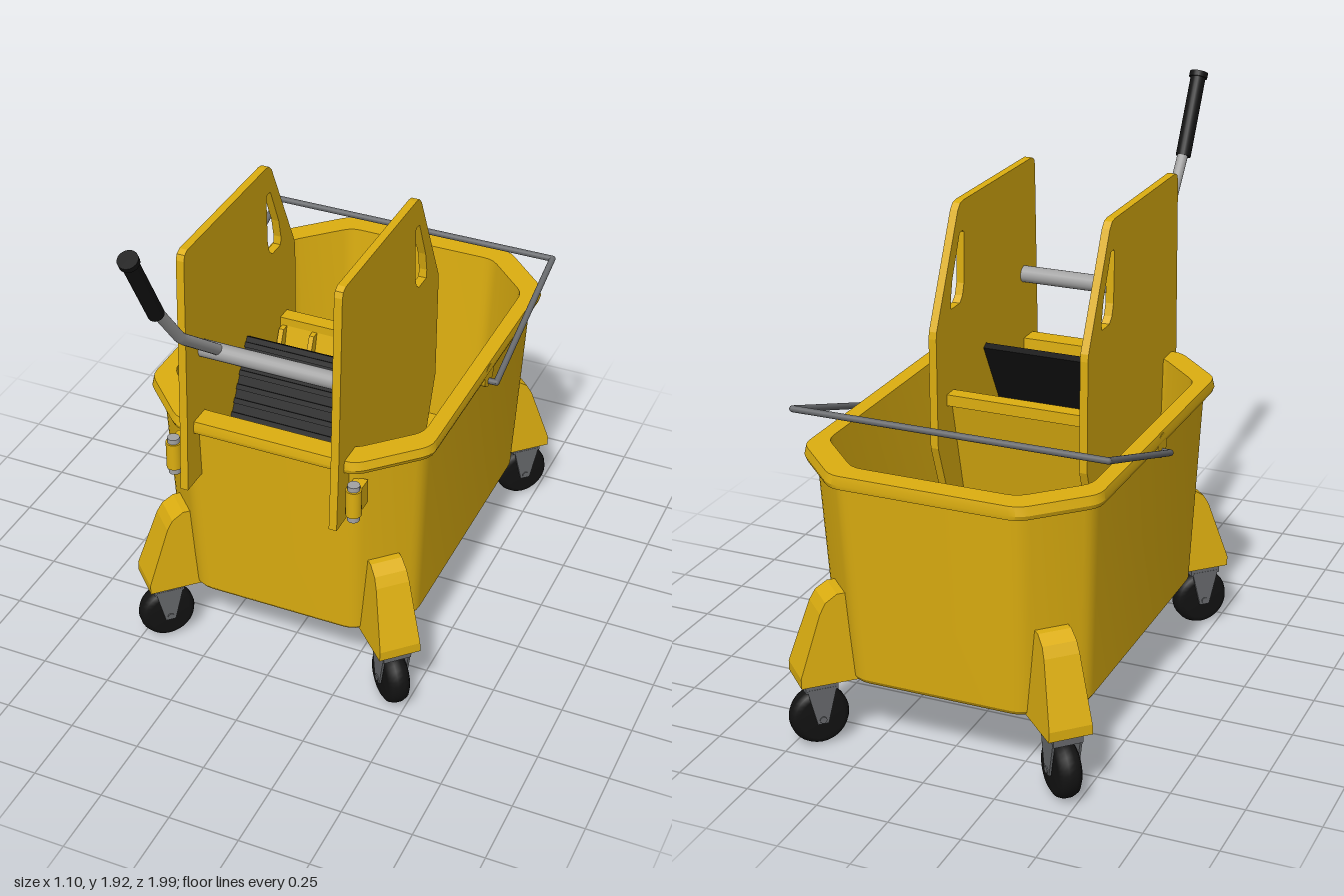
import * as THREE from 'three';
import { toCreasedNormals } from 'three/addons/utils/BufferGeometryUtils.js';

const V = (x, y, z) => new THREE.Vector3(x, y, z);
const mat = (name, color, extra = {}) => {
  const m = new THREE.MeshStandardMaterial({ color, ...extra });
  m.name = name;
  return m;
};

export function createModel() {
  const yellow = mat('yellow plastic', 0xdcae10);
  const black = mat('black rubber', 0x121212);
  const steel = mat('light steel', 0xa2a2a2);
  const wire = mat('dark steel wire', 0x66686b);
  const root = new THREE.Group();

  const add = (name, geometry, material, parent = root, x = 0, y = 0, z = 0) => {
    const mesh = new THREE.Mesh(geometry, material);
    mesh.name = name;
    mesh.position.set(x, y, z);
    parent.add(mesh);
    return mesh;
  };
  // Straight round bar between two points
  const bar = (name, a, b, r, material, parent = root) => {
    const mesh = add(name, new THREE.CylinderGeometry(r, r, a.distanceTo(b), 20), material, parent);
    mesh.position.copy(a).lerp(b, 0.5);
    mesh.quaternion.setFromUnitVectors(V(0, 1, 0), b.clone().sub(a).normalize());
    return mesh;
  };
  const shapeOf = (pts) => new THREE.Shape(pts.map((p) => new THREE.Vector2(...p)));
  // Extrusion centred on its thickness
  const slab = (shape, depth) =>
    new THREE.ExtrudeGeometry(shape, { depth, bevelEnabled: false, curveSegments: 6 }).translate(0, 0, -depth / 2);
  // Profile drawn as (z, y), thickness along x
  const sideSlab = (shape, depth) => slab(shape, depth).rotateY(-Math.PI / 2);

  // Chamfered rectangle with softened corners, as one horizontal ring
  const ring = (hw, zb, zf, c, y) => {
    const corners = [[hw, zf - c], [hw - c, zf], [c - hw, zf], [-hw, zf - c],
      [-hw, zb + c], [c - hw, zb], [hw - c, zb], [hw, zb + c]].map((p) => V(p[0], y, p[1]));
    const out = [];
    corners.forEach((p, i) => {
      const toward = (q) => p.clone().add(q.clone().sub(p).setLength(0.035));
      const curve = new THREE.QuadraticBezierCurve3(
        toward(corners[(i + 7) % 8]), p, toward(corners[(i + 1) % 8]));
      out.push(...curve.getPoints(3));
    });
    return out;
  };
  const loft = (rings) => {
    const pos = [];
    for (let k = 0; k + 1 < rings.length; k++) {
      const a = rings[k], b = rings[k + 1], n = Math.max(a.length, b.length);
      for (let i = 0; i < n; i++) {
        const j = (i + 1) % n;
        if (b.length > 1) pos.push(...[a[i % a.length], b[i], b[j]].flatMap((p) => p.toArray()));
        if (a.length > 1) pos.push(...[a[i], b[j % b.length], a[j]].flatMap((p) => p.toArray()));
      }
    }
    const g = new THREE.BufferGeometry();
    g.setAttribute('position', new THREE.Float32BufferAttribute(pos, 3));
    return toCreasedNormals(g, 0.5);
  };

  // Bucket: outside wall, rim and inside wall in one skin
  add('bucket', loft([
    [V(0, 0.24, -0.23)],
    ring(0.445, -0.87, 0.41, 0.16, 0.24),
    ring(0.455, -0.88, 0.42, 0.165, 0.255),
    ring(0.485, -0.925, 0.455, 0.175, 0.96),
    ring(0.51, -0.965, 0.49, 0.19, 0.96),
    ring(0.515, -0.968, 0.494, 0.19, 0.975),
    ring(0.51, -0.963, 0.488, 0.19, 1.005),
    ring(0.457, -0.883, 0.41, 0.175, 1.005),
    ring(0.425, -0.845, 0.38, 0.165, 0.28),
    [V(0, 0.28, -0.23)],
  ]), yellow);

  // Corner legs with casters; local +x points diagonally outward
  const legShape = shapeOf([[-0.16, 0.24], [0.075, 0.24], [0.075, 0.275], [0.0, 0.49],
    [-0.02, 0.525], [-0.06, 0.55], [-0.16, 0.55]]);
  const legGeo = slab(legShape, 0.15);
  const lp = legGeo.attributes.position;
  for (let i = 0; i < lp.count; i++) lp.setZ(i, lp.getZ(i) * (1 - 0.8 * (lp.getY(i) - 0.24)));
  legGeo.computeVertexNormals();
  const wheelGeo = new THREE.LatheGeometry([[0, -0.04], [0.075, -0.04], [0.092, -0.03], [0.1, -0.012],
    [0.1, 0.012], [0.092, 0.03], [0.075, 0.04], [0, 0.04]].map((p) => new THREE.Vector2(...p)), 32)
    .rotateX(Math.PI / 2);
  const forkGeo = slab(shapeOf([[-0.018, 0.085], [0.018, 0.085], [0.05, 0.215], [-0.05, 0.215]]), 0.008);
  for (const sx of [-1, 1]) for (const sz of [-1, 1]) {
    const leg = new THREE.Group();
    leg.name = (sz > 0 ? 'front' : 'rear') + (sx > 0 ? 'Left' : 'Right') + 'Leg';
    leg.position.set(sx * 0.433, 0, sz > 0 ? 0.42 : -0.887);
    leg.rotation.y = Math.atan2(-sz, sx);
    root.add(leg);
    add('legBracket', legGeo, yellow, leg);
    add('wheel', wheelGeo, black, leg, 0, 0.1, 0);
    add('casterPlate', new THREE.BoxGeometry(0.11, 0.03, 0.1), wire, leg, 0, 0.22, 0);
    for (const s of [-1, 1]) add('fork', forkGeo, wire, leg, 0, 0, s * 0.047);
    add('axle', new THREE.CylinderGeometry(0.012, 0.012, 0.11, 12).rotateX(Math.PI / 2), wire, leg, 0, 0.1, 0);
  }

  // Wringer side panels with hand holes
  const panel = shapeOf([[0.55, 0.765], [0.535, 1.0], [0.512, 1.63], [0.505, 1.65], [0.485, 1.66],
    [-0.09, 1.66], [-0.115, 1.655], [-0.135, 1.635], [-0.312, 1.265], [-0.316, 1.24],
    [-0.316, 0.85], [-0.17, 0.45], [0.37, 0.45], [0.4, 0.765]]);
  panel.holes.push(shapeOf([[-0.09, 1.55], [-0.1, 1.557], [-0.122, 1.555], [-0.185, 1.41],
    [-0.2, 1.34], [-0.197, 1.31], [-0.13, 1.31], [-0.108, 1.33], [-0.095, 1.37]]));
  const panelGeo = sideSlab(panel, 0.028);
  for (const s of [-1, 1]) {
    add('wringerSidePanel', panelGeo, yellow, root, s * 0.27, 0, 0);
    // Rollers that clip the wringer to the bucket front
    add('clipRoller', new THREE.CylinderGeometry(0.027, 0.027, 0.1, 20), yellow, root, s * 0.325, 0.868, 0.507);
    add('clipPin', new THREE.CylinderGeometry(0.021, 0.021, 0.14, 20), steel, root, s * 0.325, 0.866, 0.507);
    add('clipBracket', new THREE.BoxGeometry(0.045, 0.09, 0.07), yellow, root, s * 0.322, 0.868, 0.47);
  }

  // Wringer basket: rear bar, sloping back, floor and ribs
  add('wringerRearBar', new THREE.BoxGeometry(0.52, 0.04, 0.055), yellow, root, 0, 1.0, -0.215);
  add('wringerBack', sideSlab(shapeOf([[-0.21, 1.0], [-0.19, 1.0], [-0.06, 0.5], [-0.085, 0.48]]), 0.52), yellow);
  add('wringerFloor', new THREE.BoxGeometry(0.52, 0.025, 0.44), yellow, root, 0, 0.485, 0.14);
  const ribGeo = sideSlab(shapeOf([[-0.2, 0.99], [-0.16, 0.99], [0.07, 0.49], [-0.09, 0.49]]), 0.018);
  for (let i = -2; i <= 2; i++) add('wringerRib', ribGeo, yellow, root, i * 0.116 - 0.008, 0, 0);

  // Black press plate with shallow ridges, leaning back
  const press = new THREE.Group();
  press.name = 'pressPlate';
  press.position.set(0, 0.79, 0.235);
  press.rotation.x = -Math.atan2(0.33, 0.6);
  root.add(press);
  add('pressBoard', new THREE.BoxGeometry(0.515, 0.69, 0.025), black, press);
  for (let i = 0; i < 14; i++) {
    add('pressRidge', new THREE.BoxGeometry(0.51, 0.018, 0.012), black, press, 0, -0.32 + i * 0.049, 0.015);
  }

  // Press shaft, bent lever and grip
  bar('pressShaft', V(-0.262, 1.25, 0.41), V(0.262, 1.25, 0.41), 0.03, steel);
  const leverPath = new THREE.CurvePath();
  const bend = [V(-0.195, 1.25, 0.4), V(-0.195, 1.415, 0.615), V(-0.195, 1.465, 0.675), V(-0.195, 1.66, 0.83)];
  leverPath.add(new THREE.LineCurve3(bend[0], bend[1]));
  leverPath.add(new THREE.QuadraticBezierCurve3(bend[1], V(-0.195, 1.438, 0.647), bend[2]));
  leverPath.add(new THREE.LineCurve3(bend[2], bend[3]));
  add('lever', new THREE.TubeGeometry(leverPath, 32, 0.019, 16), steel);
  const g0 = V(-0.195, 1.63, 0.815), g1 = V(-0.195, 1.9, 0.965);
  bar('grip', g0, g1, 0.027, black);
  bar('gripEnd', g0.clone().lerp(g1, 0.95), g1.clone().lerp(g0, -0.015), 0.033, black);

  // Carrying bail and its pivots
  const bail = [V(-0.49, 0.935, -0.23), V(-0.54, 0.935, -0.23), V(-0.54, 1.125, -0.785),
    V(0.54, 1.125, -0.785), V(0.54, 0.935, -0.23), V(0.49, 0.935, -0.23)];
  for (let i = 0; i + 1 < bail.length; i++) {
    bar('bail', bail[i], bail[i + 1], 0.011, wire);
    if (i) add('bailBend', new THREE.SphereGeometry(0.011, 12, 8), wire, root, ...bail[i].toArray());
  }
  for (const s of [-1, 1]) {
    add('bailPivot', new THREE.CylinderGeometry(0.042, 0.042, 0.04, 24).rotateZ(Math.PI / 2),
      yellow, root, s * 0.493, 0.957, -0.23);
  }
  return root;
}
